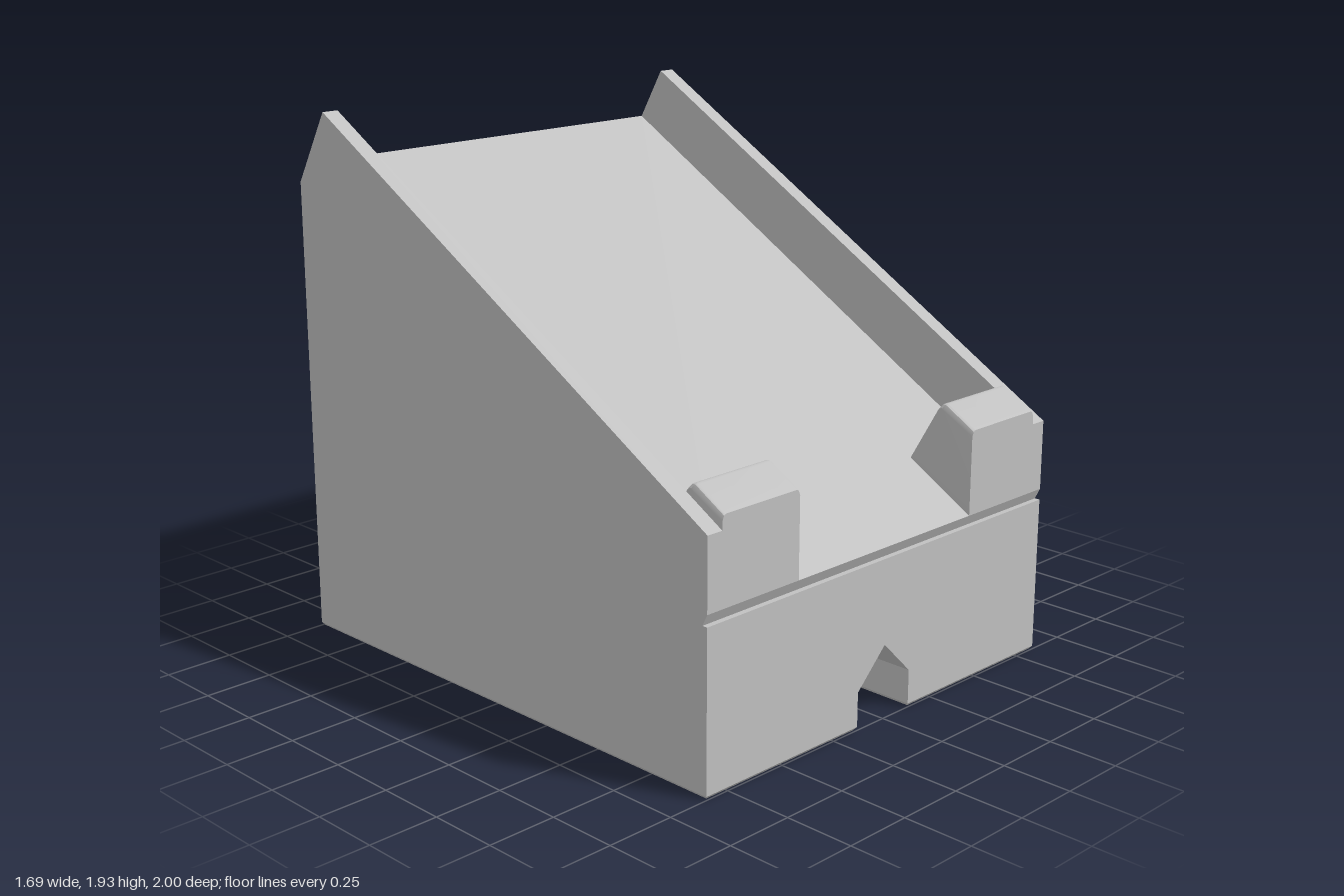
import * as THREE from 'three';
import { toCreasedNormals } from 'three/addons/utils/BufferGeometryUtils.js';
import { ConvexGeometry } from 'three/addons/geometries/ConvexGeometry.js';

const HALF = 0.845, INNER = 0.782;   // outer half width, inside of the side walls
const FOOT = 0.012, SEAM = 0.57;     // foot chamfer height, groove height
const TILT = Math.PI / 6;            // slope of the cradle

// Extrude a side outline, given as [z, y] points, from x0 to x1
function sideExtrude(points, x0, x1) {
  const shape = new THREE.Shape(points.map(([z, y]) => new THREE.Vector2(-z, y)));
  return new THREE.ExtrudeGeometry(shape, { depth: x1 - x0, bevelEnabled: false })
    .rotateY(Math.PI / 2).translate(x0, 0, 0);
}

// Lip block with rounded upper edges, its top parallel to the slope
function stopGeometry(x0, x1) {
  const r = 0.018, steps = 4, points = [];
  const u = new THREE.Vector2(Math.cos(TILT), -Math.sin(TILT));  // down the slope, as (z, y)
  const v = new THREE.Vector2(-Math.sin(TILT), -Math.cos(TILT)); // into the slope
  for (let i = 0; i <= steps; i++) {
    const a = (i / steps) * Math.PI / 2;
    const inset = r * (1 - Math.sin(a)), drop = r * (1 - Math.cos(a));
    // larger drop towards the two ends
    for (const x of [x0 + r - inset, x1 - r + inset]) {
      const d = r - r * Math.sin(Math.acos(Math.min(1, inset / r)));
      const add = (z, y) => points.push(new THREE.Vector3(x, y, z));
      add(1, 0.61);
      add(0.735, 0.752);
      add(1, 0.912 - d / Math.cos(TILT));
      const c = new THREE.Vector2(0.87, 0.987).addScaledVector(v, d + r).addScaledVector(u, r);
      for (let j = 0; j <= steps; j++) {
        const b = (j / steps) * Math.PI / 2;
        const p = c.clone().addScaledVector(v, -r * Math.cos(b)).addScaledVector(u, -r * Math.sin(b));
        add(p.x, p.y);
      }
    }
  }
  return toCreasedNormals(new ConvexGeometry(points), 0.5);
}

export function createModel() {
  const model = new THREE.Group();
  model.name = 'slopedStand';
  const grey = new THREE.MeshStandardMaterial({ color: 0xc0c0c0 });
  grey.name = 'light grey';
  const add = (name, geometry) => {
    const mesh = new THREE.Mesh(geometry, grey);
    mesh.name = name;
    model.add(mesh);
  };

  // Base with a pointed channel running front to back
  const base = new THREE.Shape([
    [-HALF, FOOT], [-0.132, FOOT], [-0.132, 0.135], [0, 0.265], [0.132, 0.135],
    [0.132, FOOT], [HALF, FOOT], [HALF, SEAM], [-HALF, SEAM],
  ].map(([x, y]) => new THREE.Vector2(x, y)));
  add('base', new THREE.ExtrudeGeometry(base, { depth: 2, bevelEnabled: false }).translate(0, 0, -1));

  // Sloping bed, with the undercut groove along its front edge
  add('bed', sideExtrude(
    [[1, 0.61], [0.98, SEAM], [-1, SEAM], [-1, 1.67], [-0.96, 1.74]], -INNER, INNER));

  const wall = [[1, 0.61], [0.98, SEAM], [-1, SEAM], [-1, 1.67], [-0.85, 1.93], [1, 0.862]];
  for (const [side, s] of [['left', 1], ['right', -1]]) {
    // Raised side wall
    add(side + 'Wall', sideExtrude(wall, s > 0 ? INNER : -HALF, s > 0 ? HALF : -INNER));

    // Front stop beside the wall
    add(side + 'Stop', stopGeometry(s > 0 ? 0.435 : -INNER, s > 0 ? INNER : -0.435));

    // Thin foot, chamfered all round at the bottom
    const width = HALF - 0.132;
    const foot = new THREE.BoxGeometry(width, FOOT, 2);
    const p = foot.attributes.position;
    for (let i = 0; i < p.count; i++) {
      if (p.getY(i) < 0) {
        p.setX(i, p.getX(i) - Math.sign(p.getX(i)) * 0.01);
        p.setZ(i, p.getZ(i) - Math.sign(p.getZ(i)) * 0.01);
      }
    }
    foot.translate(s * (0.132 + width / 2), FOOT / 2, 0);
    foot.computeVertexNormals();
    add(side + 'Foot', foot);
  }
  return model;
}
